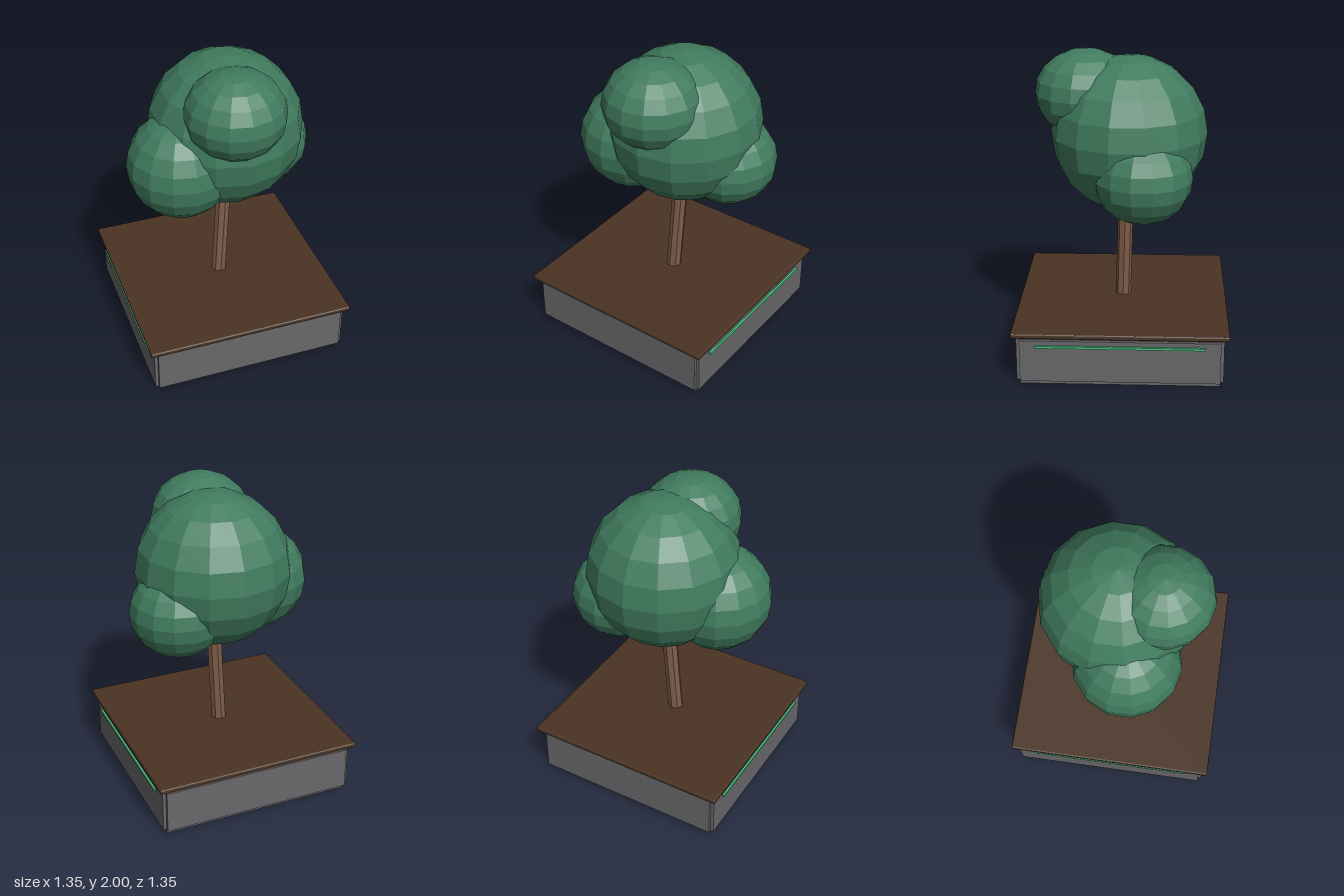
import * as THREE from 'three';
import { RoundedBoxGeometry } from 'three/addons/geometries/RoundedBoxGeometry.js';

export function createModel() {
  const model = new THREE.Group();
  model.name = 'planterTree';

  const paint = (name, color, flatShading = true) => {
    const m = new THREE.MeshStandardMaterial({ color, flatShading });
    m.name = name;
    return m;
  };
  const concrete = paint('concrete grey', 0x68686b);
  const soil = paint('soil brown', 0x4a3323);
  const bark = paint('bark brown', 0x805f49);
  const leaf = paint('leaf green', 0x417c5f);
  const glow = paint('light strip green', 0x45c080);

  const add = (parent, name, geometry, material, x, y, z) => {
    const mesh = new THREE.Mesh(geometry, material);
    mesh.name = name;
    mesh.position.set(x, y, z);
    parent.add(mesh);
    return mesh;
  };

  // Planter: three crossed boxes give a recessed step along every edge
  const planter = new THREE.Group();
  planter.name = 'planter';
  model.add(planter);
  const wide = 1.29, core = 1.248;
  add(planter, 'planterCore', new THREE.BoxGeometry(core, 0.33, core), concrete, 0, 0.165, 0);
  add(planter, 'planterSidePanels', new THREE.BoxGeometry(wide, 0.276, core), concrete, 0, 0.165, 0);
  add(planter, 'planterFrontBackPanels', new THREE.BoxGeometry(core, 0.276, wide), concrete, 0, 0.165, 0);

  // Soil slab overhanging the planter
  add(model, 'soilSlab', new RoundedBoxGeometry(1.35, 0.032, 1.35, 2, 0.01), soil, 0, 0.344, 0);

  // Light strips floating just off both sides
  for (const side of [-1, 1]) {
    add(model, side > 0 ? 'leftLightStrip' : 'rightLightStrip',
      new THREE.BoxGeometry(0.014, 0.014, 1.05), glow, side * 0.658, 0.269, 0);
  }

  // Leaning trunk
  const base = new THREE.Vector3(-0.002, 0.33, 0.003);
  const top = new THREE.Vector3(0.046, 1.1, -0.018);
  const along = top.clone().sub(base);
  const mid = base.clone().add(top).multiplyScalar(0.5);
  const trunk = add(model, 'trunk', new THREE.CylinderGeometry(0.049, 0.05, along.length(), 8),
    bark, mid.x, mid.y, mid.z);
  trunk.quaternion.setFromUnitVectors(new THREE.Vector3(0, 1, 0), along.normalize());

  // Faceted foliage: name, centre, horizontal radius, vertical radius
  const crown = new THREE.Group();
  crown.name = 'crown';
  model.add(crown);
  const clumps = [
    ['mainFoliage', 0.055, 1.475, -0.037, 0.493, 0.495],
    ['frontFoliage', 0.022, 1.725, 0.238, 0.318, 0.276],
    ['rightFoliage', -0.27, 1.32, 0.065, 0.342, 0.342],
    ['leftFoliage', 0.328, 1.262, -0.13, 0.308, 0.285],
  ];
  for (const [name, x, y, z, r, h] of clumps) {
    const clump = add(crown, name, new THREE.SphereGeometry(1, 14, 10), leaf, x, y, z);
    clump.scale.set(r, h, r);
    clump.rotation.y = Math.PI / 2;
  }
  return model;
}
